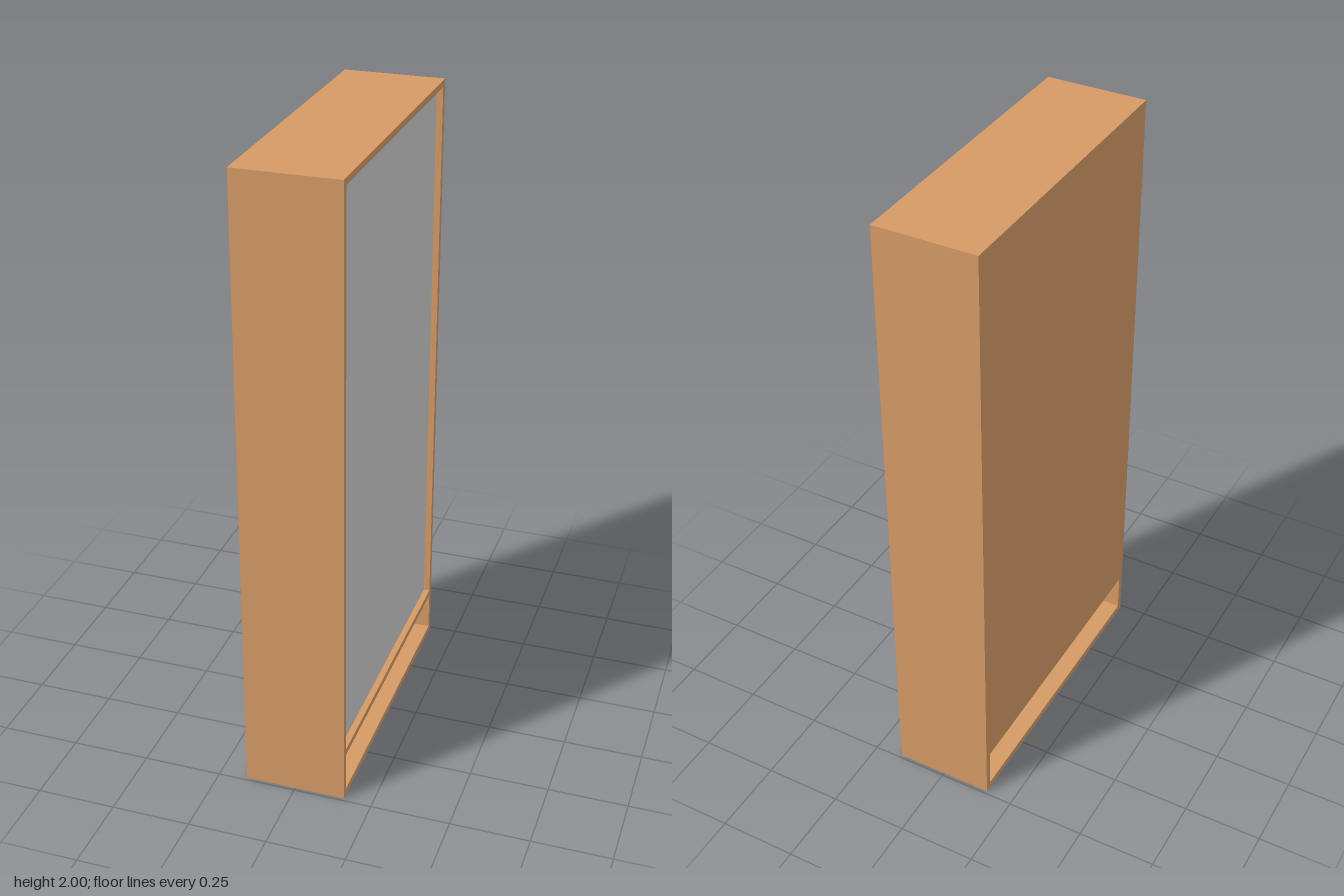
import * as THREE from 'three';

export function createModel() {
  const model = new THREE.Group();
  model.name = 'cabinet';
  const wood = new THREE.MeshStandardMaterial({ color: 0xd49a65 });
  const grey = new THREE.MeshStandardMaterial({ color: 0xcccccc });

  const W = 0.32, H = 2, D = 0.98, T = 0.021; // overall size and board thickness
  const inner = D - 2 * T;
  const shelfTop = 0.174;
  const openH = H - T - shelfTop; // height of the upper compartment

  const board = (name, w, h, d, x, y, z, material = wood) => {
    const mesh = new THREE.Mesh(new THREE.BoxGeometry(w, h, d), material);
    mesh.name = name;
    mesh.position.set(x, y, z);
    model.add(mesh);
  };

  // Two full-height end boards
  for (const s of [1, -1]) {
    board(s > 0 ? 'frontEndBoard' : 'rearEndBoard', W, H, T, 0, H / 2, s * (D - T) / 2);
  }

  // Top, shelf above the open niche, and bottom
  board('topBoard', W, T, inner, 0, H - T / 2, 0);
  board('shelfBoard', W, T, inner, 0, shelfTop - T / 2, 0);
  board('bottomBoard', W, 0.023, inner, 0, 0.0115, 0);

  // Flush wooden back on one side, recessed grey panel on the other
  const midY = shelfTop + openH / 2;
  board('backPanel', T, openH, inner, -(W - T) / 2, midY, 0);
  board('recessedPanel', T, openH, inner, W / 2 - 0.02 - T / 2, midY, 0, grey);

  return model;
}
